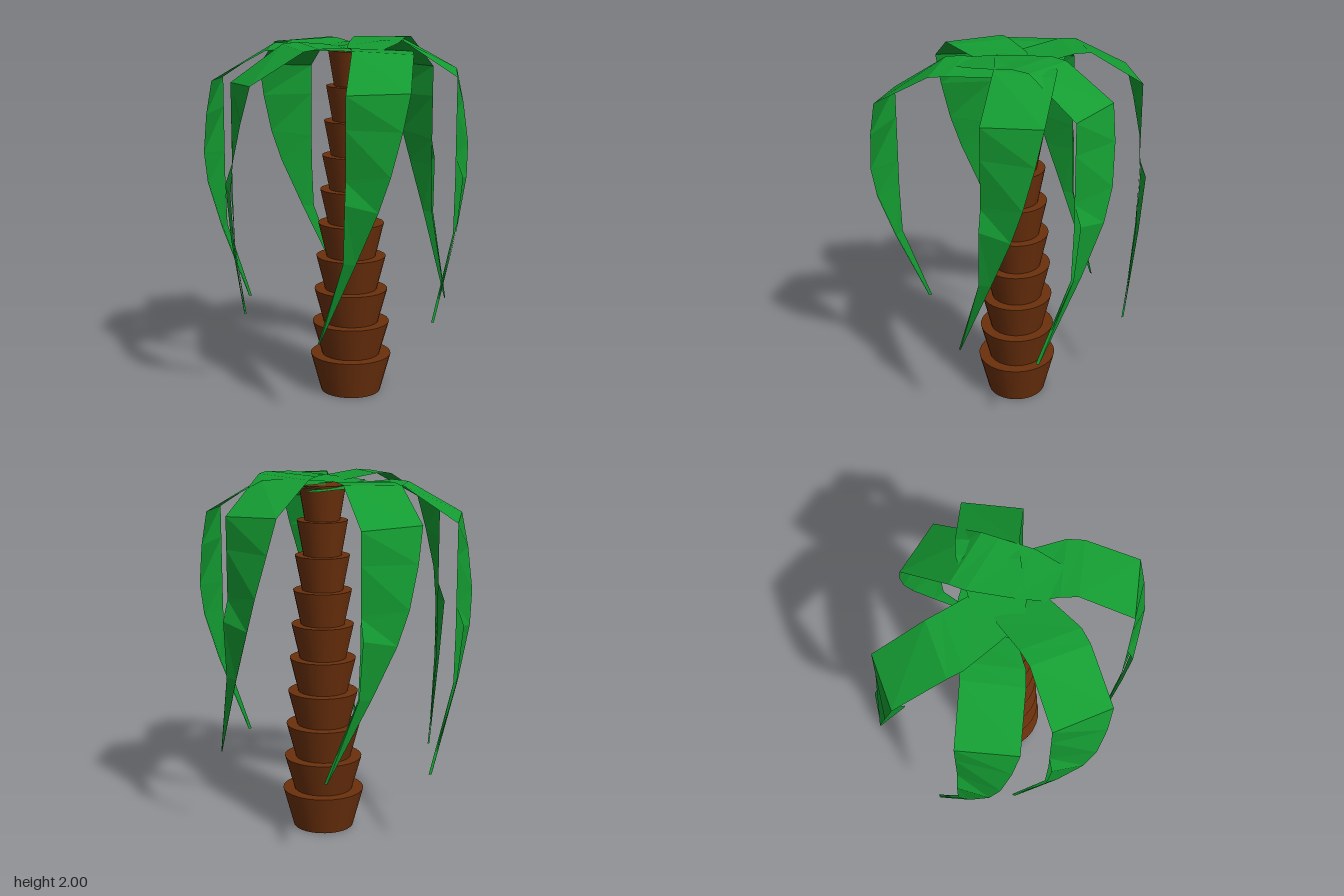
import * as THREE from 'three';

const bark = new THREE.MeshStandardMaterial({ color: 0x6b300c });
const leaf = new THREE.MeshStandardMaterial({ color: 0x149c32, flatShading: true, side: THREE.DoubleSide });

// Cross-sections of a frond from root to tip: [left edge], [right edge], each (outward, left, height)
const BLADE = [
  [[-0.14, 0.21, 1.92], [-0.13, 0.16, 1.92]],
  [[-0.07, 0.22, 1.925], [-0.085, 0.01, 1.925]],
  [[0.09, 0.22, 1.945], [0.06, -0.06, 1.94]],
  [[0.27, 0.175, 1.965], [0.27, -0.145, 1.955]],
  [[0.36, 0.16, 1.96], [0.36, -0.155, 1.945]],
  [[0.65, 0.16, 1.77], [0.65, -0.16, 1.785]],
  [[0.65, 0.16, 1.6], [0.69, -0.125, 1.6]],
  [[0.65, 0.16, 1.35], [0.72, -0.07, 1.38]],
  [[0.65, 0.16, 1.2], [0.71, -0.01, 1.2]],
  [[0.645, 0.17, 0.92], [0.66, 0.105, 0.92]],
  [[0.535, 0.315, 0.45], [0.545, 0.305, 0.45]],
];

// Outer flap that stands off the hanging half below a slanting fold
const FLAP = [
  [[0.65, 0.16, 1.34], [0.72, -0.07, 1.38]],
  [[0.69, 0.16, 1.23], [0.715, -0.01, 1.2]],
  [[0.66, 0.17, 0.92], [0.665, 0.105, 0.92]],
  [[0.54, 0.315, 0.45], [0.55, 0.305, 0.45]],
];

// Ribbon between the left and right edges of the given rows
function ribbon(rows) {
  const pos = [], index = [];
  rows.forEach((row, i) => {
    for (const [u, l, y] of row) pos.push(-l, y, u);
    if (i) {
      const a = 2 * i - 2;
      index.push(a, a + 2, a + 3, a, a + 3, a + 1);
    }
  });
  const g = new THREE.BufferGeometry();
  g.setAttribute('position', new THREE.Float32BufferAttribute(pos, 3));
  g.setIndex(index);
  g.computeVertexNormals();
  return g;
}

export function createModel() {
  const model = new THREE.Group();

  // Trunk: stacked cups, each flaring upward and smaller than the one below
  const trunk = new THREE.Group();
  trunk.name = 'trunk';
  trunk.position.set(0.085, 0, -0.04);
  trunk.scale.z = 0.94;
  for (let i = 0; i < 10; i++) {
    const top = 0.22 + 0.19 * i;
    const bottom = i ? top - 0.2 : 0;
    const r = 0.227 - 0.0111 * i;
    const ring = new THREE.Mesh(new THREE.CylinderGeometry(r, r * 0.74, top - bottom, 28), bark);
    ring.name = 'trunkRing' + (i + 1);
    ring.position.y = (top + bottom) / 2;
    trunk.add(ring);
  }
  model.add(trunk);

  // Fronds: shoulder x and z, outward direction x and z, lift
  const crown = new THREE.Group();
  crown.name = 'crown';
  const blade = ribbon(BLADE), flap = ribbon(FLAP);
  [
    [-0.65, -0.02, -1, 0.02, -0.01],
    [-0.365, -0.575, -0.46, -0.89, 0.01],
    [0.36, -0.51, 0.39, -0.92, 0.035],
    [0.65, -0.165, 1, -0.04, 0.025],
    [0.29, 0.615, 0.01, 1, 0],
    [-0.435, 0.415, -0.87, 0.49, 0.015],
  ].forEach(([x, z, dx, dz, lift], i) => {
    const frond = new THREE.Group();
    frond.name = 'frond' + (i + 1);
    for (const [name, geometry] of [['blade', blade], ['flap', flap]]) {
      const part = new THREE.Mesh(geometry, leaf);
      part.name = name;
      frond.add(part);
    }
    frond.rotation.y = Math.atan2(dx, dz);
    frond.position.set(x - 0.65 * dx, lift, z - 0.65 * dz);
    crown.add(frond);
  });
  model.add(crown);
  return model;
}
